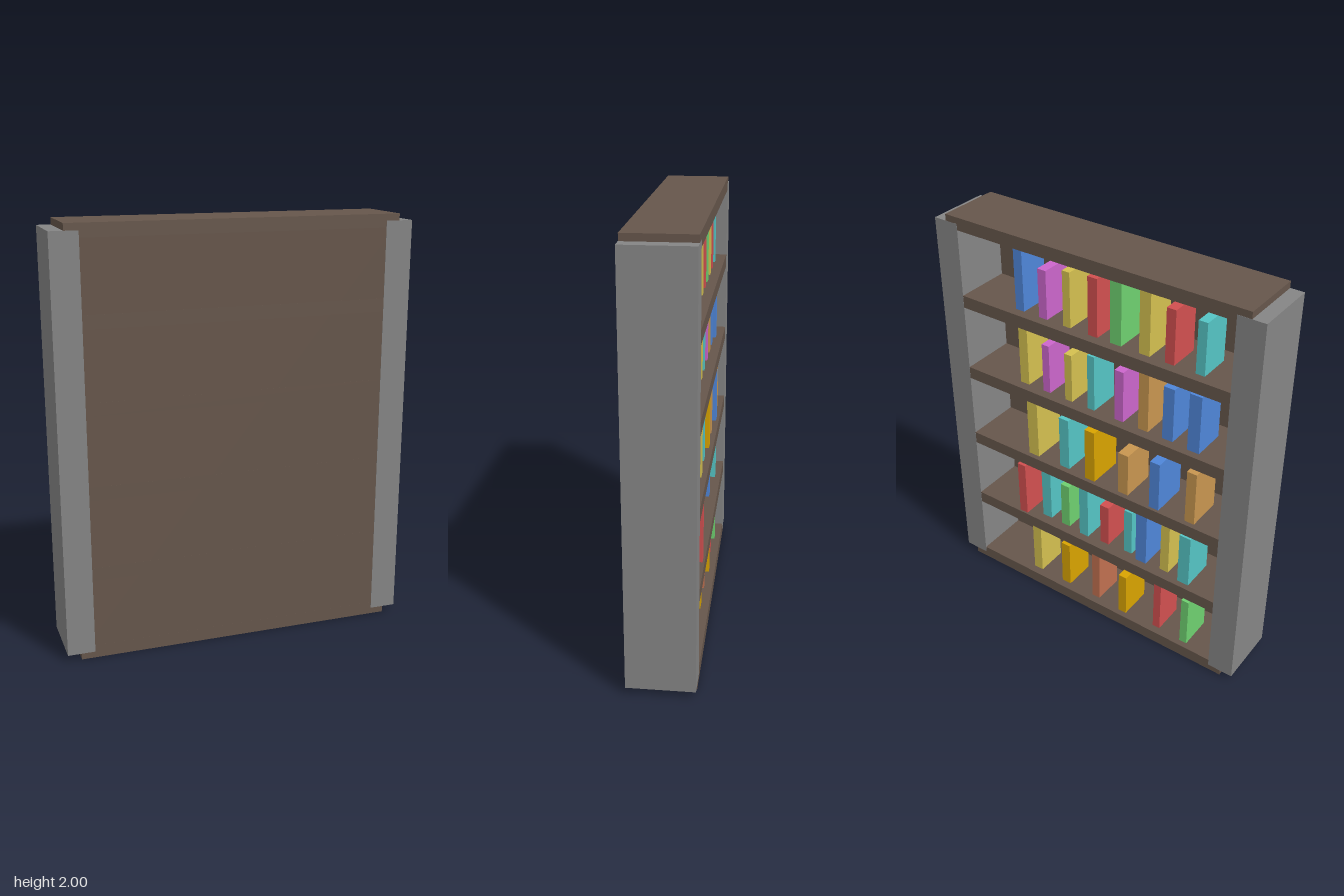
import * as THREE from 'three';

const WOOD = 0x66564b, SIDE = 0x858585;
const COLORS = {
  blue: 0x4f86d9, purple: 0xcc66cc, yellow: 0xd4c050, red: 0xd25050, green: 0x6fd070,
  teal: 0x55c5c5, gold: 0xd9a400, orange: 0xc89650, brown: 0xc07050,
};
const BOARD = 0.062;      // shelf board thickness
const PITCH = 0.388;      // distance between boards
const BOOK_BACK = 0.045;  // z where every book ends

// Rows from the bottom up: [colour, x of the +x edge, height, width, depth]
const ROWS = [
  [['yellow', 0.397, 0.31, 0.052, 0.16], ['gold', 0.21, 0.26, 0.052, 0.16], ['brown', 0.015, 0.31, 0.045, 0.16],
    ['gold', -0.157, 0.24, 0.045, 0.17], ['red', -0.36, 0.31, 0.04, 0.16], ['green', -0.524, 0.275, 0.04, 0.17]],
  [['red', 0.449, 0.3, 0.047, 0.19], ['teal', 0.33, 0.31, 0.055, 0.15], ['green', 0.21, 0.25, 0.05, 0.15],
    ['teal', 0.09, 0.29, 0.052, 0.16], ['red', -0.03, 0.23, 0.05, 0.15], ['teal', -0.165, 0.255, 0.045, 0.14],
    ['blue', -0.247, 0.295, 0.06, 0.16], ['yellow', -0.382, 0.29, 0.047, 0.15], ['teal', -0.494, 0.285, 0.06, 0.17]],
  [['yellow', 0.38, 0.31, 0.06, 0.175], ['teal', 0.193, 0.28, 0.055, 0.17], ['gold', 0.036, 0.28, 0.055, 0.18],
    ['orange', -0.151, 0.225, 0.055, 0.175], ['blue', -0.331, 0.26, 0.052, 0.185], ['orange', -0.518, 0.28, 0.05, 0.175]],
  [['yellow', 0.425, 0.3, 0.05, 0.155], ['purple', 0.29, 0.25, 0.04, 0.155], ['yellow', 0.162, 0.245, 0.04, 0.155],
    ['teal', 0.034, 0.283, 0.038, 0.155], ['purple', -0.115, 0.26, 0.047, 0.155], ['orange', -0.243, 0.3, 0.052, 0.155],
    ['blue', -0.37, 0.27, 0.055, 0.155], ['blue', -0.505, 0.29, 0.06, 0.165]],
  [['blue', 0.43, 0.31, 0.047, 0.155], ['purple', 0.297, 0.24, 0.045, 0.155], ['yellow', 0.162, 0.27, 0.04, 0.155],
    ['red', 0.027, 0.283, 0.05, 0.155], ['green', -0.09, 0.3, 0.058, 0.155], ['yellow', -0.24, 0.3, 0.054, 0.155],
    ['red', -0.37, 0.26, 0.046, 0.155], ['teal', -0.52, 0.25, 0.044, 0.155]],
];

function box(parent, name, color, [w, h, d], [x, y, z]) {
  const mesh = new THREE.Mesh(new THREE.BoxGeometry(w, h, d), new THREE.MeshStandardMaterial({ color }));
  mesh.position.set(x, y, z);
  mesh.name = name;
  parent.add(mesh);
}

export function createModel() {
  const model = new THREE.Group();
  model.name = 'bookcase';

  // Side panels, a touch deeper than the boards that pass into them
  for (const s of [1, -1]) {
    box(model, s > 0 ? 'leftSide' : 'rightSide', SIDE, [0.129, 1.94, 0.31], [s * 0.775, 1, 0]);
  }

  // Closed panel on +z; the shelves open towards -z
  box(model, 'backPanel', WOOD, [1.55, 1.94, 0.03], [0, 1, 0.139]);

  // Bottom, four shelves and top
  for (let i = 0; i < 6; i++) {
    const name = i === 0 ? 'bottomBoard' : i === 5 ? 'topBoard' : 'shelf' + i;
    box(model, name, WOOD, [1.55, BOARD, 0.3085], [0, BOARD / 2 + i * PITCH * 0.99974, 0]);
  }

  // Books standing on each board
  ROWS.forEach((row, i) => {
    const books = new THREE.Group();
    books.name = 'bookRow' + (i + 1);
    const floor = BOARD + i * PITCH;
    row.forEach(([color, x, h, w, d], j) => {
      box(books, 'book' + (j + 1), COLORS[color], [w, h, d], [x - w / 2, floor + h / 2, BOOK_BACK - d / 2]);
    });
    model.add(books);
  });
  return model;
}
